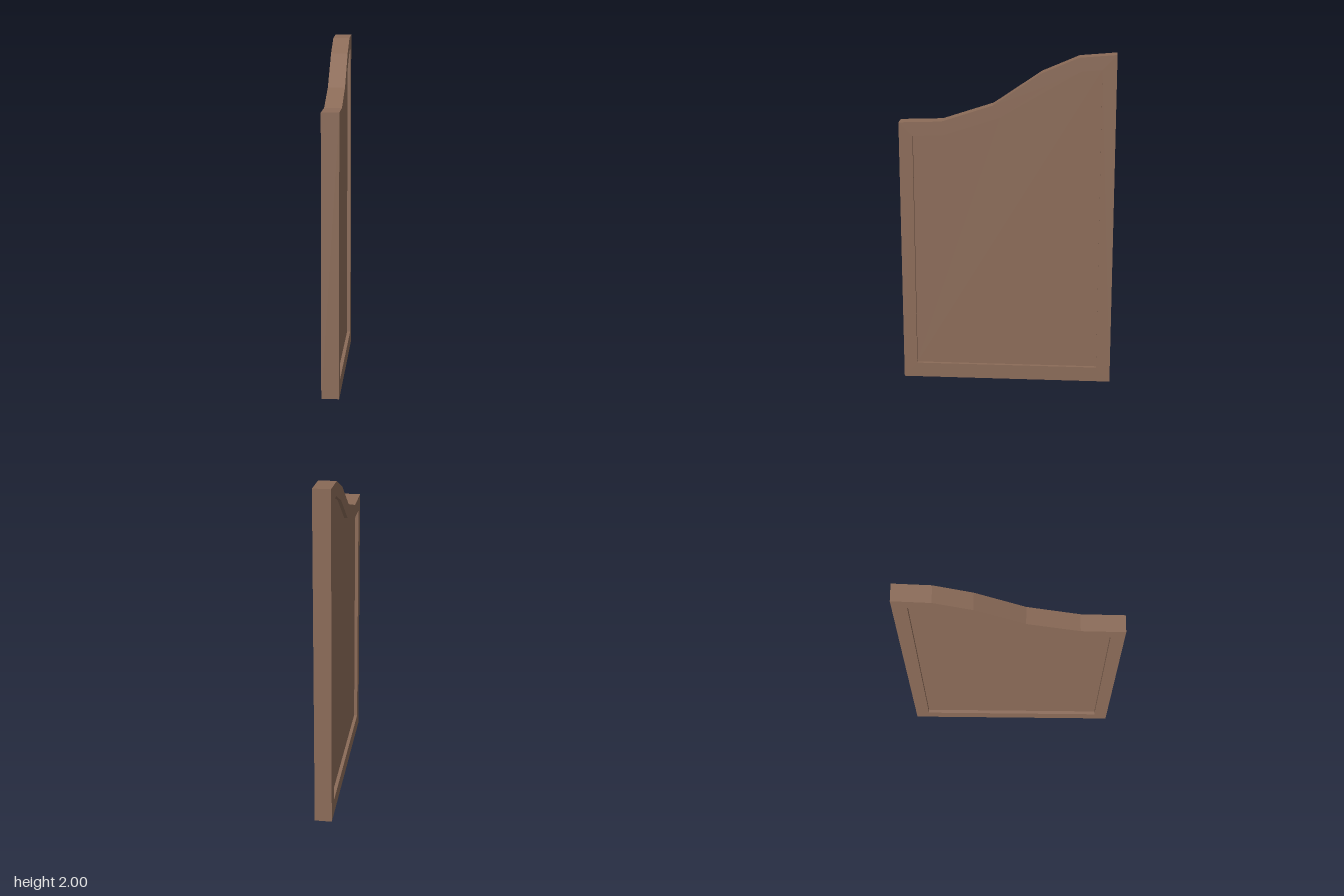
import * as THREE from 'three';

// Outlines as (z, y) corners, with a stepped wave along the top
const outer = [
  [0.63, 0], [0.63, 1.594], [0.38, 1.602], [0.08, 1.70],
  [-0.20, 1.89], [-0.415, 1.982], [-0.63, 2],
  [-0.63, 0],
];
const inner = [
  [0.55, 0.09], [0.55, 1.514], [0.37, 1.521], [0.035, 1.63],
  [-0.24, 1.82], [-0.435, 1.904], [-0.547, 1.912],
  [-0.547, 0.09],
];

const toPoints = (list) => list.map(([z, y]) => new THREE.Vector2(z, y));

// Extrudes an outline drawn in the z-y plane, centred on x = 0
function slab(shape, thickness) {
  const geometry = new THREE.ExtrudeGeometry(shape, { depth: thickness, bevelEnabled: false });
  geometry.translate(0, 0, -thickness / 2);
  geometry.rotateY(-Math.PI / 2);
  return geometry;
}

export function createModel() {
  const wood = new THREE.MeshStandardMaterial({ color: 0x8b6b58 });
  wood.name = 'brown wood';

  const group = new THREE.Group();
  group.name = 'wavyPanel';

  // Raised border
  const frameShape = new THREE.Shape(toPoints(outer));
  frameShape.holes.push(new THREE.Path(toPoints(inner)));
  const frame = new THREE.Mesh(slab(frameShape, 0.1), wood);
  frame.name = 'frame';

  // Recessed infill, set back on both sides
  const panel = new THREE.Mesh(slab(new THREE.Shape(toPoints(inner)), 0.06), wood);
  panel.name = 'recessedPanel';

  group.add(frame, panel);
  return group;
}
